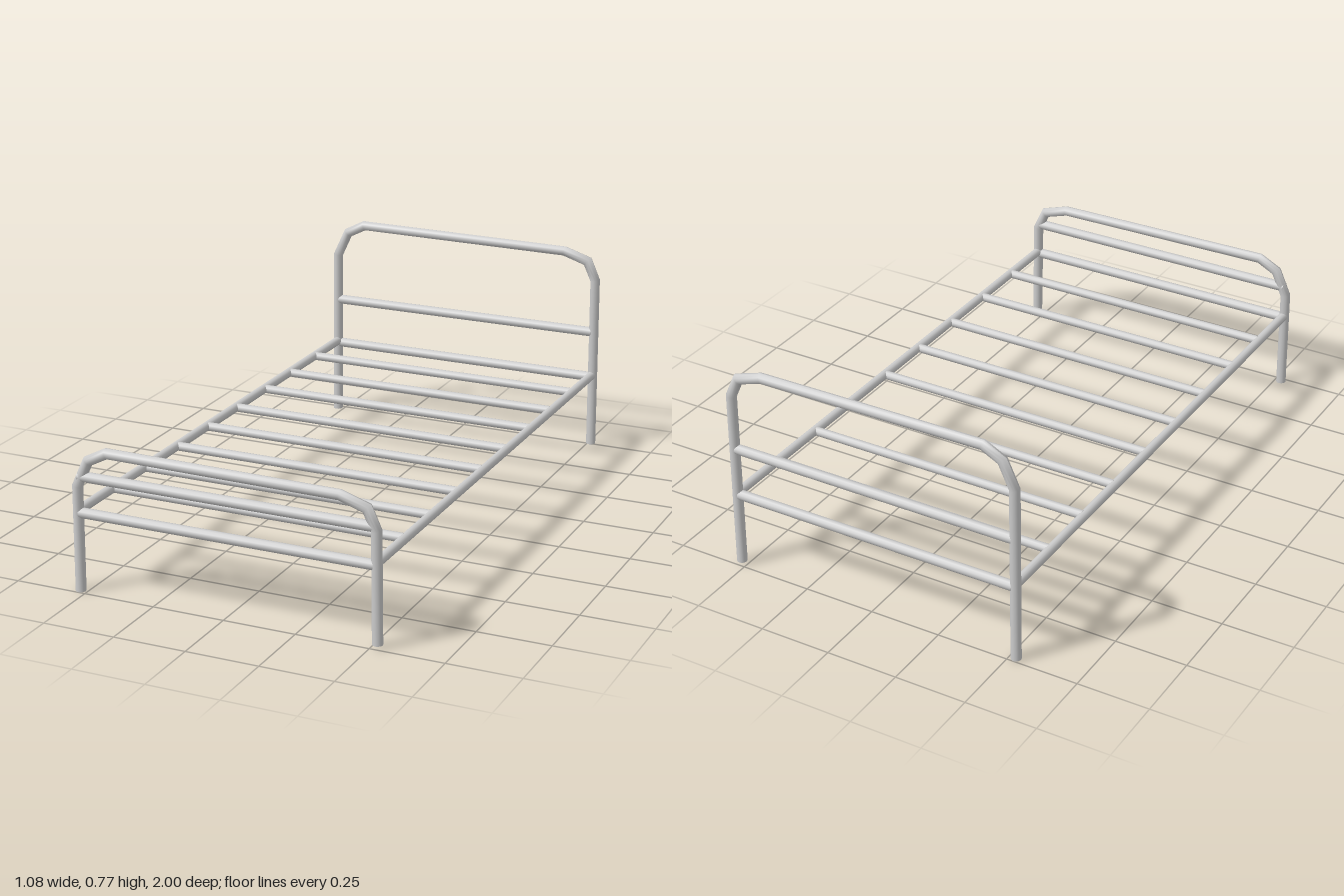
import * as THREE from 'three';

const SIDES = 12;
const material = new THREE.MeshStandardMaterial({ color: 0xcccccc });

// Capped tube along a bent path in the XY plane, with mitred joints
function mitredTube(path, radius) {
  const pts = path.map(([x, y]) => new THREE.Vector2(x, y));
  const last = pts.length - 1;
  const pos = [], index = [];

  const addRing = (i) => {
    const before = pts[Math.max(i, 1)].clone().sub(pts[Math.max(i, 1) - 1]).normalize();
    const k = Math.min(i, last - 1);
    const after = pts[k + 1].clone().sub(pts[k]).normalize();
    const t = before.clone().add(after).normalize();
    const reach = radius / t.dot(after);
    const start = pos.length / 3;
    for (let j = 0; j <= SIDES; j++) {
      const a = (j / SIDES) * Math.PI * 2;
      const c = Math.cos(a) * reach;
      pos.push(pts[i].x - t.y * c, pts[i].y + t.x * c, Math.sin(a) * radius);
    }
    return start;
  };

  // Walls
  const rings = pts.map((_, i) => addRing(i));
  for (let i = 0; i < last; i++) {
    for (let j = 0; j < SIDES; j++) {
      const a = rings[i] + j, c = rings[i + 1] + j;
      index.push(a, a + 1, c, a + 1, c + 1, c);
    }
  }

  // End caps
  for (const i of [0, last]) {
    const ring = addRing(i);
    const centre = pos.length / 3;
    pos.push(pts[i].x, pts[i].y, 0);
    for (let j = 0; j < SIDES; j++) {
      if (i === 0) index.push(centre, ring + j + 1, ring + j);
      else index.push(centre, ring + j, ring + j + 1);
    }
  }

  const geo = new THREE.BufferGeometry();
  geo.setAttribute('position', new THREE.Float32BufferAttribute(pos, 3));
  geo.setIndex(index);
  geo.computeVertexNormals();
  return geo;
}

// Straight round bar running along x
function crossBar(name, y, z, radius) {
  const geo = new THREE.CylinderGeometry(radius, radius, 1.025, SIDES).rotateZ(Math.PI / 2);
  const bar = new THREE.Mesh(geo, material);
  bar.name = name;
  bar.position.set(-0.003, y, z);
  return bar;
}

// End frame: bent hoop with a middle bar and a low bar
function endFrame(name, z, drop, middleY) {
  const frame = new THREE.Group();
  frame.name = name;
  const path = [
    [-0.524, 0], [-0.521, 0.624 - drop], [-0.48, 0.713 - drop], [-0.412, 0.748 - drop],
    [0.394, 0.741 - drop], [0.485, 0.712 - drop], [0.516, 0.643 - drop], [0.52, 0.01],
  ];
  const hoop = new THREE.Mesh(mitredTube(path, 0.0175), material);
  hoop.name = name + 'Hoop';
  hoop.position.z = z;
  frame.add(hoop);
  frame.add(crossBar(name + 'MiddleBar', middleY, z, 0.0175));
  frame.add(crossBar(name + 'LowBar', 0.271, z, 0.0175));
  return frame;
}

export function createModel() {
  const model = new THREE.Group();
  model.name = 'bedFrame';

  model.add(endFrame('headboard', -0.982, 0, 0.445));
  model.add(endFrame('footboard', 0.982, 0.262, 0.395));

  // Long side rails
  for (const [name, x] of [['leftRail', 0.516], ['rightRail', -0.521]]) {
    const geo = new THREE.CylinderGeometry(0.016, 0.016, 1.96, SIDES).rotateX(Math.PI / 2);
    const rail = new THREE.Mesh(geo, material);
    rail.name = name;
    rail.position.set(x, 0.278, 0);
    model.add(rail);
  }

  // Slats between the rails
  const slats = new THREE.Group();
  slats.name = 'slats';
  [-0.763, -0.543, -0.336, -0.109, 0.111, 0.331, 0.554, 0.766].forEach((z, i) => {
    slats.add(crossBar('slat' + (i + 1), 0.278, z, 0.0155));
  });
  model.add(slats);

  return model;
}
